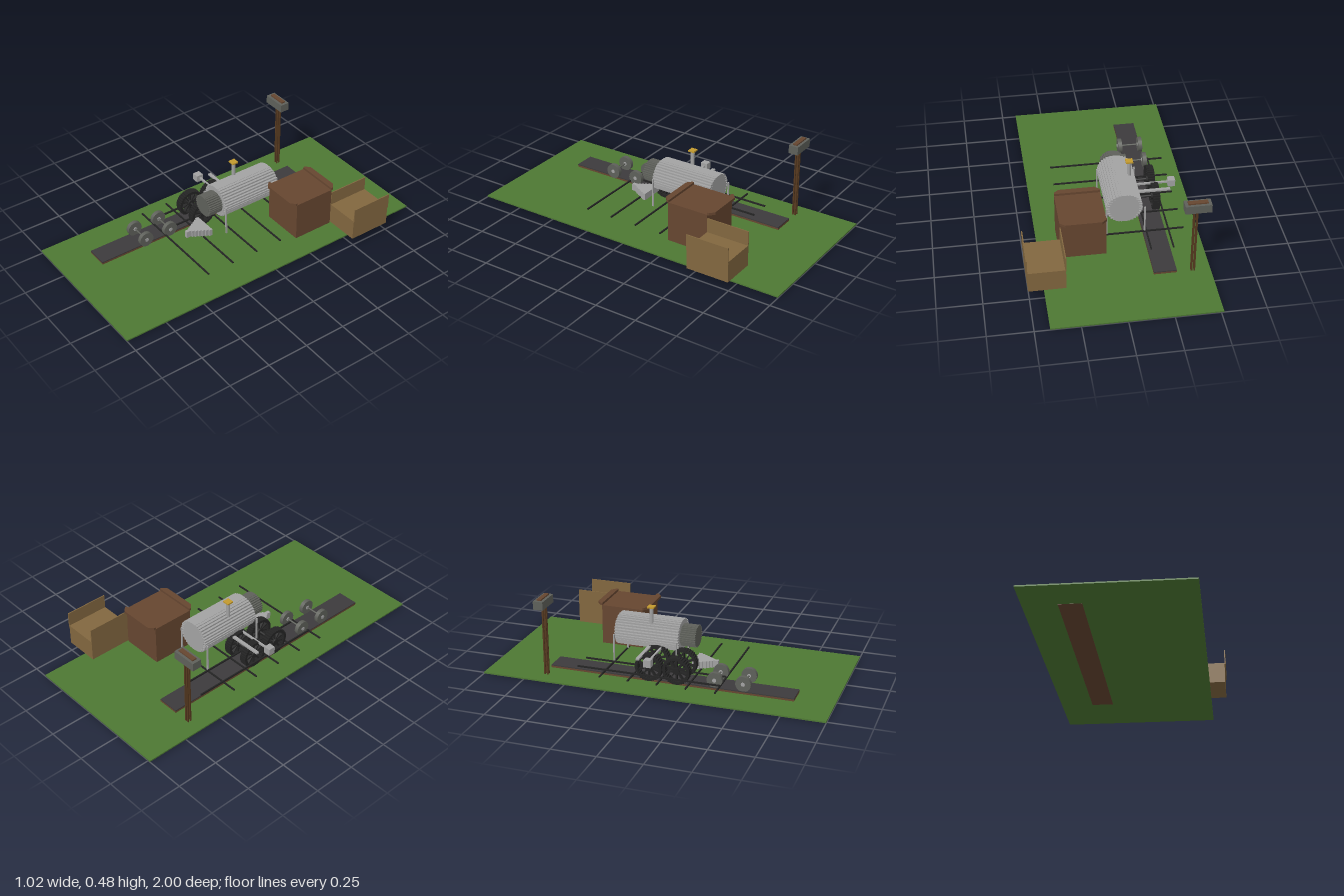
import * as THREE from 'three';
import { mergeGeometries } from 'three/addons/utils/BufferGeometryUtils.js';

const material = (name, color) => {
  const m = new THREE.MeshStandardMaterial({ color });
  m.name = name;
  return m;
};

// Box geometry from minimum and maximum on each axis
function block(x0, x1, y0, y1, z0, z1) {
  return new THREE.BoxGeometry(x1 - x0, y1 - y0, z1 - z0)
    .translate((x0 + x1) / 2, (y0 + y1) / 2, (z0 + z1) / 2);
}

// Cylinder along x or z
function drum(r, length, axis, x, y, z, sides = 24) {
  const g = new THREE.CylinderGeometry(r, r, length, sides);
  if (axis === 'x') g.rotateZ(Math.PI / 2);
  else g.rotateX(Math.PI / 2);
  return g.translate(x, y, z);
}

// Ring of upright planks running along z, giving a stepped round barrel
function plankBarrel(r, w, h, z0, z1, x, y, count) {
  const parts = [drum(r, z1 - z0, 'z', x, y, (z0 + z1) / 2)];
  for (let i = 0; i < count; i++) {
    const a = i / count * Math.PI * 2;
    const px = x + Math.cos(a) * r, py = y + Math.sin(a) * r;
    parts.push(block(px - w / 2, px + w / 2, py - h / 2, py + h / 2, z0, z1));
  }
  return mergeGeometries(parts);
}

// Spoked wheel with a rim of small blocks, facing x
function spokedWheel(x0, x1, y, z, r) {
  const parts = [], xm = (x0 + x1) / 2, rim = r - 0.008;
  for (let i = 0; i < 32; i++) {
    const a = i / 32 * Math.PI * 2;
    const py = y + Math.sin(a) * rim, pz = z + Math.cos(a) * rim;
    parts.push(block(x0, x1, py - 0.008, py + 0.008, pz - 0.008, pz + 0.008));
  }
  for (let i = 0; i < 5; i++) {
    parts.push(new THREE.BoxGeometry((x1 - x0) * 0.5, 2 * rim, 0.008)
      .rotateX(i * Math.PI / 5).translate(xm, y, z));
  }
  parts.push(drum(0.02, x1 - x0, 'x', xm, y, z, 12));
  return mergeGeometries(parts);
}

export function createModel() {
  const root = new THREE.Group();
  const grass = material('grass green', 0x4d7833);
  const steel = material('light steel', 0xa3a3a3);
  const iron = material('dark iron', 0x5e605a);
  const black = material('black iron', 0x242424);
  const slate = material('track grey', 0x3c3a3c);
  const brown = material('cab brown', 0x664630);
  const wood = material('post wood', 0x56391f);
  const tan = material('tender tan', 0x82673f);
  const gold = material('gold', 0xc39a2e);

  const add = (name, geometry, mat) => {
    const mesh = new THREE.Mesh(geometry, mat);
    mesh.name = name;
    root.add(mesh);
    return mesh;
  };

  // Ground and track bed
  add('ground', block(-0.515, 0.415, 0.001, 0.009, -1, 1), grass);
  add('trackBase', block(-0.325, -0.197, 0, 0.02, -0.66, 0.78), brown);
  add('trackTop', block(-0.325, -0.197, 0.02, 0.026, -0.66, 0.78), slate);

  // Cross rods and the two side rails
  for (let i = 0; i < 5; i++) {
    const z = -0.32 + i * 0.17;
    add('crossRod', block(-0.43, 0.26, 0.037, 0.045, z - 0.004, z + 0.004), black);
  }
  for (const x of [-0.34, -0.213]) {
    add('sideRail', block(x - 0.004, x + 0.004, 0.043, 0.052, -0.49, 0.36), black);
  }

  // Driving wheels and axles
  for (const z of [0.1, -0.064]) {
    add('drivingWheel', spokedWheel(-0.328, -0.286, 0.09, z, 0.08), black);
    add('drivingWheel', spokedWheel(-0.2, -0.158, 0.09, z, 0.08), black);
    add('drivingAxle', drum(0.008, 0.14, 'x', -0.243, 0.09, z, 8), black);
  }

  // Small leading wheels
  for (const z of [0.49, 0.325]) {
    for (const x of [-0.3125, -0.1875]) {
      add('leadingWheel', drum(0.045, 0.024, 'x', x, 0.067, z, 20), iron);
      add('leadingHub', drum(0.012, 0.03, 'x', x, 0.067, z, 10), steel);
    }
    add('leadingAxle', drum(0.005, 0.125, 'x', -0.25, 0.067, z, 8), iron);
  }

  // Boiler and smokebox
  add('boiler', plankBarrel(0.085, 0.037, 0.01, -0.32, 0.065, -0.087, 0.217, 32), steel);
  add('smokebox', plankBarrel(0.0575, 0.025, 0.008, 0.06, 0.155, -0.085, 0.218, 28), iron);

  // Chimney with square cap
  add('chimney', new THREE.CylinderGeometry(0.012, 0.012, 0.11, 12)
    .translate(-0.145, 0.328, -0.107), steel);
  add('chimneyCap', block(-0.166, -0.125, 0.382, 0.391, -0.127, -0.088), gold);

  // Boiler support poles
  for (const z of [0.062, -0.317]) {
    add('boilerPole', block(0.011, 0.02, 0.042, 0.22, z - 0.004, z + 0.004), steel);
    add('boilerPole', block(-0.209, -0.2, 0.042, 0.213, z - 0.004, z + 0.004), steel);
  }

  // Side cylinder box and its rods
  add('sideRod', block(-0.39, -0.19, 0.155, 0.165, -0.041, -0.029), steel);
  add('sideRod', block(-0.39, -0.19, 0.155, 0.165, -0.115, -0.095), steel);
  add('sideBox', block(-0.43, -0.388, 0.137, 0.18, -0.055, -0.012), steel);

  // Pilot wedge of upright slats
  const slats = [], step = 0.0104;
  for (let i = 0; i < 14; i++) {
    const dx = (i - 6.5) * step, d = Math.abs(dx);
    const front = d < 0.012 ? 0.278 : d < 0.024 ? 0.247 : 0.235 - (d - 0.024) * 1.7;
    slats.push(block(-0.087 + dx - step / 2, -0.087 + dx + step / 2, 0.043, 0.085, 0.14, front));
  }
  add('pilotWedge', mergeGeometries(slats), steel);

  // Cab with flared, clipped eaves at front and back
  add('cab', block(0.04, 0.3, 0.045, 0.284, -0.487, -0.233), brown);
  const eave = new THREE.Shape([
    [0.04, 0], [0.3, 0], [0.3, 0.012], [0.272, 0.036], [0.068, 0.036], [0.04, 0.012],
  ].map(([x, y]) => new THREE.Vector2(x, y)));
  const eaveShape = new THREE.ExtrudeGeometry(eave, { depth: 0.015, bevelEnabled: false });
  add('frontEave', eaveShape.clone().rotateX(Math.PI / 2).translate(0, 0.298, -0.236), brown);
  add('backEave', eaveShape.clone().rotateX(-Math.PI / 2).translate(0, 0.283, -0.485), brown);

  // Tender with raised side boards
  add('tender', block(0.297, 0.505, 0.053, 0.178, -0.747, -0.488), tan);
  for (const x of [0.295, 0.504]) {
    add('tenderBoard', block(x, x + 0.006, 0.17, 0.263, -0.747, -0.488), tan);
  }

  // Post of four slim legs carrying a lamp box
  for (const x of [-0.424, -0.408]) {
    for (const z of [-0.656, -0.64]) {
      add('postLeg', block(x - 0.004, x + 0.004, 0.005, 0.43, z - 0.004, z + 0.004), wood);
    }
  }
  add('postHead', block(-0.498, -0.353, 0.426, 0.475, -0.678, -0.62), iron);
  add('postHeadTop', block(-0.48, -0.37, 0.474, 0.483, -0.663, -0.637), brown);

  return root;
}
